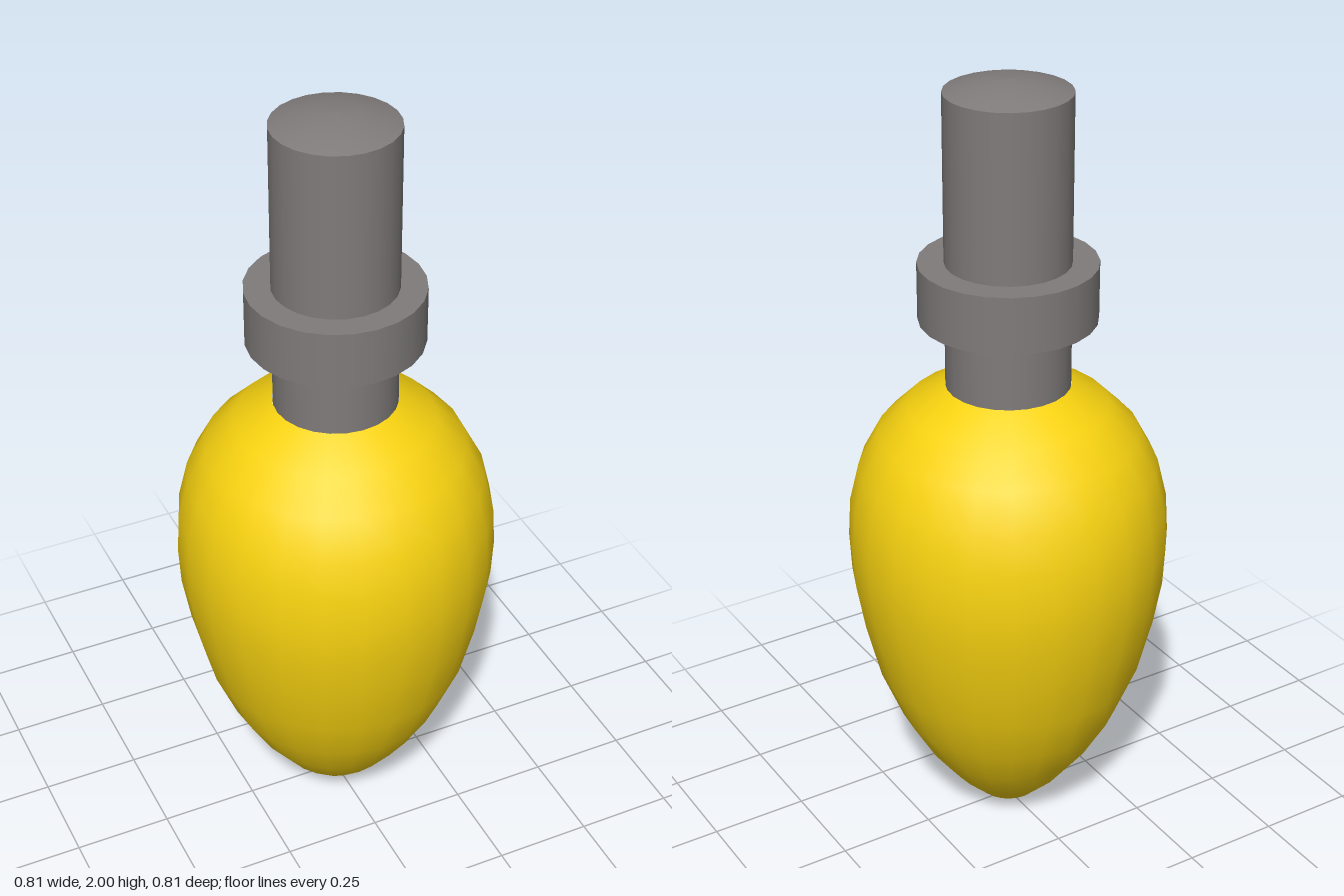
import * as THREE from 'three';

const SEGMENTS = 24;

export function createModel() {
  const model = new THREE.Group();
  const glass = new THREE.MeshStandardMaterial({ color: 0xf7d210 });
  const metal = new THREE.MeshStandardMaterial({ color: 0x7f7b7a });

  const add = (name, geometry, material, y = 0) => {
    const mesh = new THREE.Mesh(geometry, material);
    mesh.name = name;
    mesh.position.y = y;
    model.add(mesh);
  };
  // Lathe from [radius, height] pairs, listed from bottom to top
  const turned = (profile) =>
    new THREE.LatheGeometry(profile.map(([r, y]) => new THREE.Vector2(r, y)), SEGMENTS);
  const cylinder = (radius, bottom, top, open = false) =>
    new THREE.CylinderGeometry(radius, radius, top - bottom, SEGMENTS, 1, open)
      .translate(0, (top + bottom) / 2, 0);

  // Teardrop bulb, widest above the middle
  add('bulb', turned([
    [0, 0], [0.08, 0.03], [0.15, 0.1], [0.222, 0.195], [0.285, 0.305],
    [0.34, 0.44], [0.377, 0.59], [0.398, 0.71], [0.403, 0.81], [0.397, 0.91],
    [0.373, 1.01], [0.325, 1.1], [0.25, 1.175], [0.155, 1.23],
  ]), glass);

  // Straight stem rising out of the bulb
  add('stem', cylinder(0.154, 1.22, 1.97, true), metal);

  // Shallow dome closing the stem
  add('stemCap', turned([[0.154, 1.97], [0.115, 1.983], [0.06, 1.996], [0, 2]]), metal);

  // Wide collar around the stem
  add('collar', cylinder(0.219, 1.405, 1.55), metal);

  return model;
}
